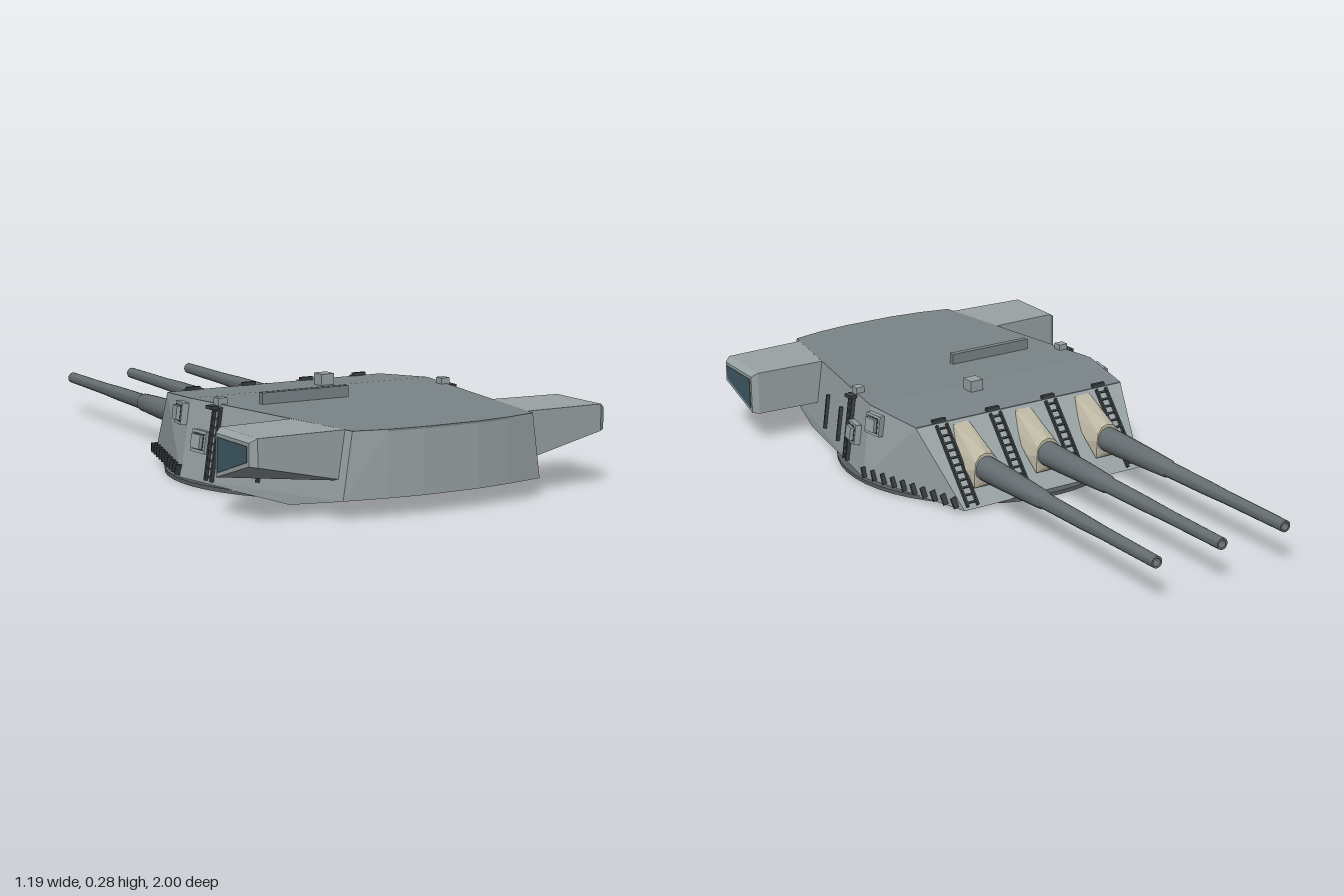
import * as THREE from 'three';
import { ConvexGeometry } from 'three/addons/geometries/ConvexGeometry.js';
import { toCreasedNormals } from 'three/addons/utils/BufferGeometryUtils.js';

const paint = (color, flat = true) => new THREE.MeshStandardMaterial({ color, flatShading: flat });
const armour = paint(0x9aa3a4), roofGrey = paint(0x7b8589), steel = paint(0x666e72, false);
const dark = paint(0x3c4143), canvas = paint(0xbcb6a2), glass = paint(0x3f5a66), floorGrey = paint(0x5a6066);

function add(parent, name, geometry, material, x = 0, y = 0, z = 0) {
  const mesh = new THREE.Mesh(geometry, material);
  mesh.name = name;
  mesh.position.set(x, y, z);
  parent.add(mesh);
  return mesh;
}
const box = (parent, name, w, h, d, material, x, y, z) =>
  add(parent, name, new THREE.BoxGeometry(w, h, d), material, x, y, z);
const hull = (points) => new ConvexGeometry(points.map((p) => new THREE.Vector3(...p)));
const mirrored = (points) => points.flatMap(([x, y, z]) => [[x, y, z], [-x, y, z]]);

// Half outlines of the gunhouse, front to back
const ROOF = [[0.385, 0.23, 0.03], [0.42, 0.245, 0.25], [0.302, 0.245, 0.965], [0.2, 0.245, 0.988], [0.09, 0.245, 1]];
const FLOOR = [[0.33, 0.01, -0.16], [0.455, 0.01, 0.25], [0.37, 0.01, 0.745], [0.33, 0.055, 0.965], [0.2, 0.055, 0.988], [0.09, 0.055, 1]];

function halfWidth(line, z) {
  let i = 0;
  while (i < line.length - 2 && z > line[i + 1][2]) i++;
  const [a, b] = [line[i], line[i + 1]];
  return a[0] + (b[0] - a[0]) * (z - a[2]) / (b[2] - a[2]);
}
const wallPoint = (s, y, z) => new THREE.Vector3(
  s * THREE.MathUtils.lerp(halfWidth(FLOOR, z), halfWidth(ROOF, z), (y - 0.01) / 0.235), y, z);

// Group lying on the side wall: local x points outward, y up the wall
function wallMount(parent, name, s, y, z) {
  const group = new THREE.Group();
  group.name = name;
  const p = wallPoint(s, y, z);
  const up = wallPoint(s, y + 0.01, z).sub(p).normalize();
  const along = wallPoint(s, y, z + 0.001).sub(p).normalize().multiplyScalar(s);
  const out = up.clone().cross(along).normalize();
  along.crossVectors(out, up);
  group.quaternion.setFromRotationMatrix(new THREE.Matrix4().makeBasis(out, up, along));
  group.position.copy(p);
  parent.add(group);
  return group;
}

function ladder(parent, length, width, rungs) {
  for (const s of [-1, 1]) box(parent, 'ladderRail', 0.012, length, 0.006, dark, 0.008, 0, s * width / 2);
  for (let i = 0; i < rungs; i++)
    box(parent, 'ladderRung', 0.006, 0.006, width, dark, 0.01, length * ((i + 0.5) / rungs - 0.5), 0);
}

function gun(parent, x) {
  // Stepped, tapering barrel with an open muzzle
  const profile = [[0, 0], [0.04, 0], [0.039, 0.1], [0.034, 0.25], [0.029, 0.36], [0.025, 0.37], [0.023, 0.55],
    [0.02, 0.66], [0.018, 0.92], [0.012, 0.92], [0.012, 0.89], [0, 0.89]];
  const barrel = toCreasedNormals(
    new THREE.LatheGeometry(profile.map((p) => new THREE.Vector2(...p)), 20), 0.6);
  add(parent, 'barrel', barrel, steel, x, 0.115, -0.08).rotation.x = -Math.PI / 2 + 0.015;

  // Canvas blast bag between the sloping plate and the barrel
  const points = [];
  for (const s of [-1, 1])
    points.push([x + s * 0.027, 0.222, 0.02], [x + s * 0.03, 0.2, -0.02], [x + s * 0.05, 0.17, 0],
      [x + s * 0.057, 0.11, -0.085], [x + s * 0.045, 0.06, -0.125]);
  for (let i = 0; i < 12; i++) {
    const a = i * Math.PI / 6, y = 0.118 + 0.047 * Math.sin(a);
    points.push([x + 0.044 * Math.cos(a), y, -0.135 + (y - 0.07) * 0.15]);
  }
  add(parent, 'blastBag', hull(points), canvas);
}

function rangefinderArm(parent, s) {
  // Box section at the root, raised rear lower edge at the tip, bevelled end
  const arm = [[0.3, 0.247, 0.705], [0.3, 0.247, 0.935], [0.3, 0.105, 0.705], [0.3, 0.105, 0.935],
    [0.575, 0.245, 0.718], [0.575, 0.245, 0.928], [0.575, 0.105, 0.718], [0.575, 0.165, 0.928],
    [0.595, 0.232, 0.73], [0.595, 0.232, 0.915], [0.595, 0.108, 0.73], [0.595, 0.168, 0.915]];
  add(parent, 'rangefinderArm', hull(arm.map(([x, y, z]) => [s * x, y, z])), armour);
  const pane = [[0.222, 0.74], [0.222, 0.905], [0.122, 0.74], [0.178, 0.905]];
  add(parent, 'rangefinderWindow',
    hull(pane.flatMap(([y, z]) => [[s * 0.59, y, z], [s * 0.597, y, z]])), glass);
}

function sideFittings(parent, s) {
  const climb = wallMount(parent, 'sideLadder', s, 0.13, 0.39);
  ladder(climb, 0.22, 0.028, 9);

  // Sighting hoods
  for (const [y, z] of [[0.197, 0.21], [0.13, 0.335]]) {
    const hood = wallMount(parent, 'sightHood', s, y, z);
    box(hood, 'hoodBase', 0.03, 0.066, 0.066, armour, 0.005, 0, 0);
    box(hood, 'hoodFrame', 0.004, 0.05, 0.05, dark, 0.019, 0, 0);
    box(hood, 'hoodCap', 0.02, 0.042, 0.042, armour, 0.022, 0, 0);
  }
  // Upright rails
  for (const z of [0.48, 0.605])
    box(wallMount(parent, 'sideRail', s, 0.108, z), 'rail', 0.016, 0.115, 0.008, dark, 0.004, 0, 0);
  // Small brackets along the lower edge
  for (let i = 0; i < 10; i++) {
    const bracket = wallMount(parent, 'edgeBracket', s, 0.032, -0.13 + i * 0.041);
    box(bracket, 'bracket', 0.024, 0.034, 0.005, dark, 0.006, 0, 0).rotation.x = 0.4 * s;
  }
  box(parent, 'roofVent', 0.03, 0.025, 0.03, armour, s * 0.39, 0.253, 0.38);
  box(parent, 'ladderLanding', 0.025, 0.01, 0.035, dark, s * 0.418, 0.238, 0.38);
}

export function createModel() {
  const model = new THREE.Group();
  model.name = 'gunTurret';

  // Round base and faceted gunhouse
  add(model, 'basePlate', new THREE.CylinderGeometry(0.466, 0.466, 0.012, 48), floorGrey, 0, 0.006, 0.278);
  add(model, 'gunhouse', hull(mirrored([...ROOF, ...FLOOR])), armour);
  const deck = ROOF.flatMap(([x, y, z]) => [[x, y + 0.002, z], [x, y - 0.004, z]]);
  add(model, 'roofPlate', hull(mirrored(deck)), roofGrey);

  for (const x of [-0.228, 0, 0.228]) gun(model, x);

  // Ladders up the sloping front plate, with a grip at the top of each
  const slope = Math.hypot(0.22, 0.19);
  const up = new THREE.Vector3(0, 0.22 / slope, 0.19 / slope);
  const out = new THREE.Vector3(0, 0.19 / slope, -0.22 / slope);
  for (const x of [-0.3, -0.104, 0.104, 0.3]) {
    const climb = new THREE.Group();
    climb.name = 'frontLadder';
    climb.position.set(x, 0.12, -0.065);
    climb.quaternion.setFromRotationMatrix(
      new THREE.Matrix4().makeBasis(out, up, new THREE.Vector3(1, 0, 0)));
    ladder(climb, 0.275, 0.036, 11);
    model.add(climb);
    box(model, 'ladderGrip', 0.046, 0.012, 0.012, dark, x, 0.237, 0.036);
  }

  for (const s of [-1, 1]) {
    rangefinderArm(model, s);
    sideFittings(model, s);
  }

  // Roof fittings
  box(model, 'roofBar', 0.293, 0.036, 0.02, roofGrey, -0.148, 0.263, 0.45);
  box(model, 'periscope', 0.045, 0.036, 0.045, armour, 0.068, 0.262, 0.205);
  return model;
}
